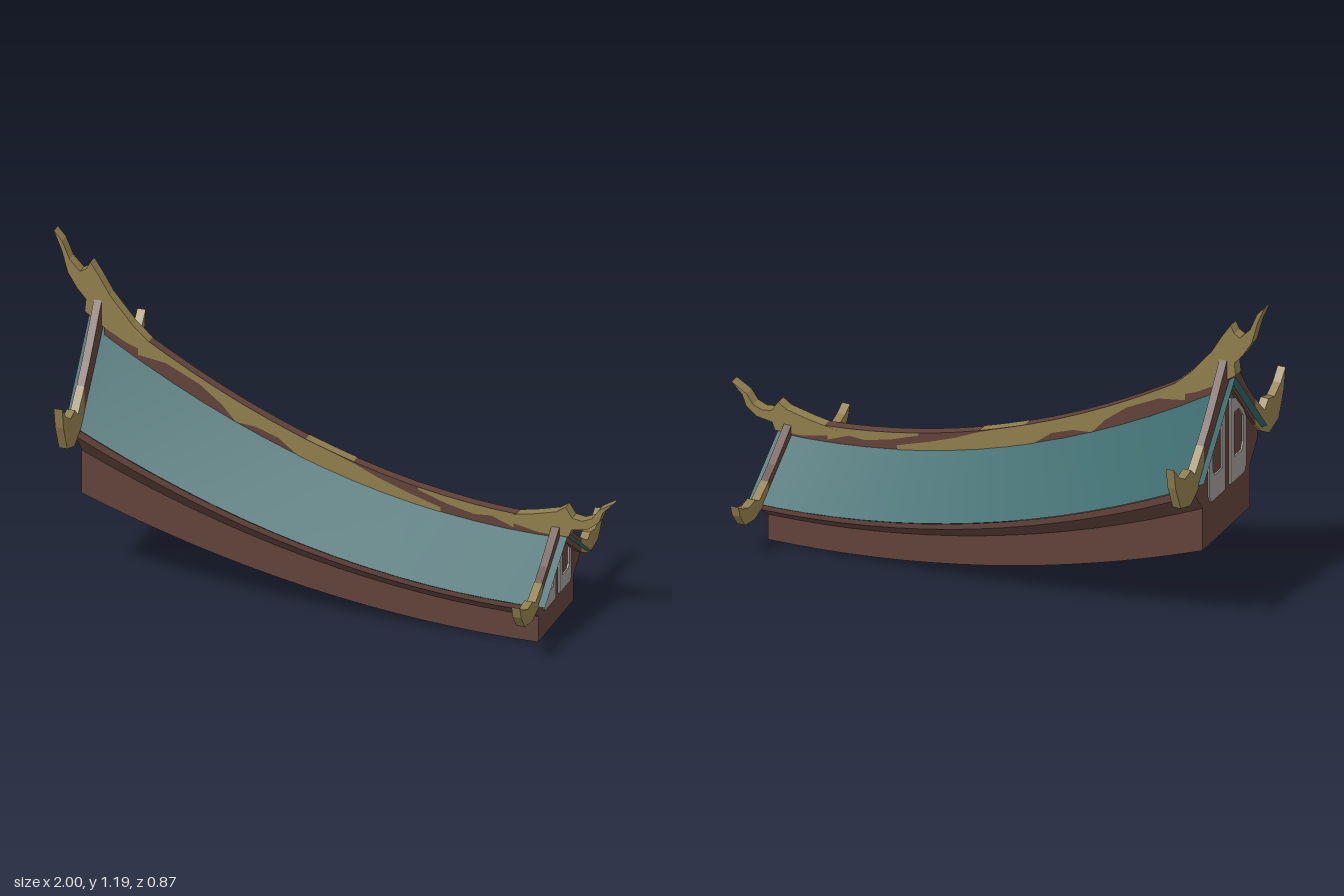
import * as THREE from 'three';

const mat = (name, color) => {
  const m = new THREE.MeshStandardMaterial({ color, side: THREE.DoubleSide });
  m.name = name;
  return m;
};

// The whole roof sags along x and grows taller toward the high end
const sag = (x) => 0.005 + 0.1157 * (0.8 - x) ** 2;
const stretch = (x) => 1 + 0.25 * (0.8 - x) ** 2;
const height = (x, t) => sag(x) + stretch(x) * t;

// Sweeps facets along x; section(x) gives [z, t] points, t being height in the unscaled section
function sweep(section, xs) {
  const pos = [], idx = [];
  const count = section(xs[0], 0).length;
  for (let f = 0; f < count - 1; f++) {
    const base = pos.length / 3;
    xs.forEach((x, i) => {
      const s = section(x, i);
      for (const [z, t] of [s[f], s[f + 1]]) pos.push(x, height(x, t), z);
      if (i) {
        const a = base + 2 * i - 2;
        idx.push(a, a + 1, a + 2, a + 1, a + 3, a + 2);
      }
    });
  }
  const g = new THREE.BufferGeometry();
  g.setAttribute('position', new THREE.Float32BufferAttribute(pos, 3));
  g.setIndex(idx);
  g.computeVertexNormals();
  return g;
}

const span = (a, b, n = 16) => Array.from({ length: n + 1 }, (_, i) => a + ((b - a) * i) / n);
const shapeOf = (pts) => new THREE.Shape(pts.map(([x, y]) => new THREE.Vector2(x, y)));
const flip = (pts) => pts.map(([z, t]) => [-z, t]).reverse();

// Cross-section shape extruded along x, centred on x
function slab(shape, x, thick, base, scale) {
  const g = new THREE.ExtrudeGeometry(shape, { depth: thick, bevelEnabled: false });
  g.translate(0, 0, -thick / 2);
  g.rotateY(Math.PI / 2);
  g.scale(1, scale, 1);
  g.translate(x, base, 0);
  g.computeVertexNormals();
  return g;
}

export function createModel() {
  const group = new THREE.Group();
  const teal = mat('teal tiles', 0x336669);
  const brown = mat('brown wood', 0x604239);
  const gold = mat('gold trim', 0x8f7d4b);
  const grey = mat('pale grey', 0x9a9591);
  const add = (name, geo, m) => {
    const mesh = new THREE.Mesh(geo, m);
    mesh.name = name;
    group.add(mesh);
  };

  // Tiled roof slopes
  add('roofTiles', sweep(() => [[-0.246, 0.16], [0, 0.333], [0.246, 0.16]], span(-0.88, 0.83)), teal);

  // Side walls, soffits and eave boards, open underneath
  const side = [[0.183, 0], [0.183, 0.095], [0.243, 0.14], [0.243, 0.158]];
  add('frontWall', sweep(() => side, span(-0.845, 0.785)), brown);
  add('backWall', sweep(() => flip(side), span(-0.845, 0.785)), brown);

  // Ridge beam
  add('ridgeBeam', sweep(() => [[0.019, 0.3], [0.019, 0.38], [-0.019, 0.38], [-0.019, 0.3]],
    span(-0.82, 0.78)), brown);

  // Gold scallops on the ridge faces: x, lower and upper edge
  const scallops = [
    [[-0.7, 0.33, 0.38], [-0.6, 0.358, 0.38], [-0.48, 0.362, 0.38], [-0.4, 0.345, 0.38], [-0.35, 0.32, 0.38],
      [-0.28, 0.338, 0.38], [-0.2, 0.342, 0.38], [-0.12, 0.315, 0.38], [0, 0.315, 0.38], [0.08, 0.315, 0.375],
      [0.16, 0.318, 0.362], [0.26, 0.318, 0.35], [0.38, 0.318, 0.335]],
    [[0.3, 0.372, 0.38], [0.4, 0.355, 0.38], [0.5, 0.345, 0.38], [0.56, 0.355, 0.38], [0.64, 0.33, 0.38]],
  ];
  for (const rows of scallops)
    for (const z of [0.0205, -0.0205])
      add('ridgeScallop', sweep((x, i) => [[z, rows[i][1]], [z, rows[i][2]]], rows.map((r) => r[0])), gold);
  add('ridgeTopPatch', sweep(() => [[-0.019, 0.382], [0.019, 0.382]], span(-0.1, 0.07, 4)), gold);

  // Curling finials at both ridge ends
  const highFinial = [[-1, 1.197], [-0.97, 1.163], [-0.944, 1.1], [-0.906, 1.06], [-0.885, 1.072], [-0.87, 1.1],
    [-0.837, 1.05], [-0.8, 0.987], [-0.72, 0.89], [-0.65, 0.825], [-0.66, 0.79], [-0.74, 0.82], [-0.82, 0.865],
    [-0.89, 0.915], [-0.885, 0.96], [-0.917, 0.997], [-0.95, 1.05], [-0.972, 1.13]];
  const lowFinial = [[1, 0.48], [0.944, 0.447], [0.92, 0.412], [0.885, 0.398], [0.85, 0.404], [0.826, 0.441],
    [0.794, 0.42], [0.71, 0.4], [0.607, 0.382], [0.64, 0.355], [0.73, 0.335], [0.837, 0.332], [0.848, 0.361],
    [0.906, 0.37], [0.946, 0.402], [0.96, 0.44]];
  for (const [name, pts] of [['highRidgeFinial', highFinial], ['lowRidgeFinial', lowFinial]]) {
    const g = new THREE.ExtrudeGeometry(shapeOf(pts), { depth: 0.042, bevelEnabled: false });
    g.translate(0, 0, -0.021);
    add(name, g, gold);
  }

  // Sloping rake bars with upturned corner horns
  const bar = [[0, 0.372], [0.016, 0.367], [0.08, 0.317], [0.143, 0.269], [0.2, 0.232], [0.2, 0.178], [0, 0.31]];
  const horn = [[0.2, 0.232], [0.27, 0.192], [0.3, 0.208], [0.347, 0.201], [0.395, 0.217], [0.433, 0.24],
    [0.42, 0.199], [0.38, 0.149], [0.305, 0.137], [0.245, 0.155], [0.2, 0.178]];
  for (const [x, base, scale] of [[0.79, 0, 1], [-0.843, 0.292, 1.85]]) {
    for (const f of [(p) => p, flip]) {
      add('rakeBar', slab(shapeOf(f(bar)), x, 0.028, base, scale), brown);
      add('cornerHorn', slab(shapeOf(f(horn)), x, 0.03, base, scale), gold);
    }
  }

  // Gable ends with pale window-like frames
  const gable = shapeOf([...side, [0, 0.326], ...flip(side)]);
  const frame = [[0.02, 0.095], [0.13, 0.095], [0.143, 0.11], [0.143, 0.215], [0.12, 0.238], [0.06, 0.28], [0.02, 0.29]];
  const hole = [[0.048, 0.15], [0.105, 0.15], [0.118, 0.165], [0.118, 0.225], [0.085, 0.25], [0.048, 0.25]];
  for (const [x, dir] of [[0.785, 1], [-0.845, -1]]) {
    const g = new THREE.ShapeGeometry(gable);
    g.rotateY(Math.PI / 2);
    g.scale(1, stretch(x), 1);
    g.translate(x, sag(x), 0);
    add('gableWall', g, brown);
    for (const f of [(p) => p, flip]) {
      const s = shapeOf(f(frame));
      s.holes.push(shapeOf(f(hole)));
      add('gableFrame', slab(s, x + dir * 0.004, 0.006, sag(x), stretch(x)), grey);
    }
  }
  return group;
}
